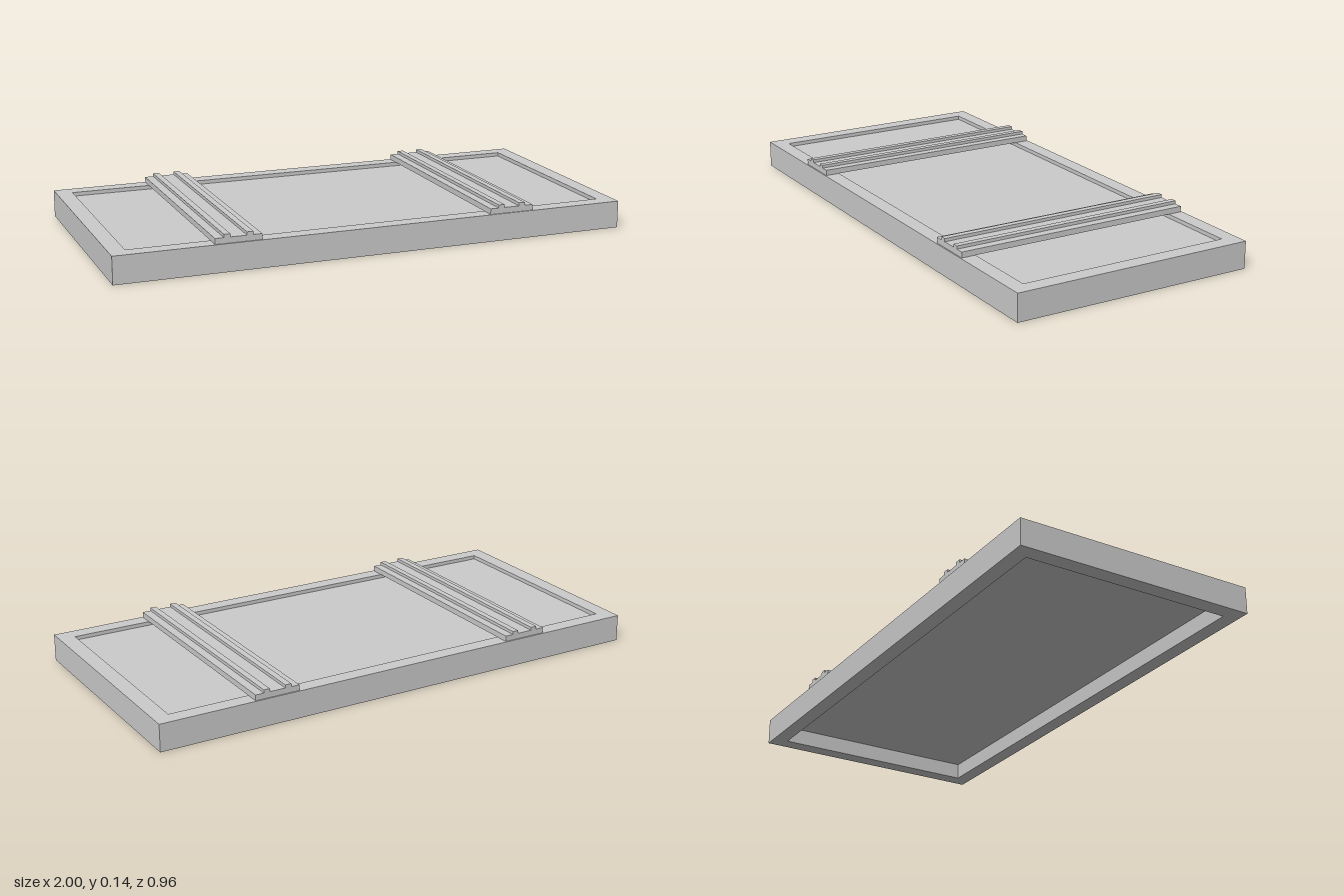
import * as THREE from 'three';

const material = new THREE.MeshStandardMaterial({ color: 0xcccccc, flatShading: true });

// Box given by its lower and upper corner
function block(name, [x0, y0, z0], [x1, y1, z1]) {
  const mesh = new THREE.Mesh(new THREE.BoxGeometry(x1 - x0, y1 - y0, z1 - z0), material);
  mesh.name = name;
  mesh.position.set((x0 + x1) / 2, (y0 + y1) / 2, (z0 + z1) / 2);
  return mesh;
}

// Corner points of a centred rectangle
function rectangle(hx, hz) {
  return [[-hx, -hz], [hx, -hz], [hx, hz], [-hx, hz]].map(([x, z]) => new THREE.Vector2(x, z));
}

export function createModel() {
  const model = new THREE.Group();
  model.name = 'battenedPanel';
  const frameTop = 0.105;

  // Rectangular rim with an open middle
  const outline = new THREE.Shape(rectangle(1, 0.478));
  outline.holes.push(new THREE.Path(rectangle(0.938, 0.418).reverse()));
  const frameGeometry = new THREE.ExtrudeGeometry(outline, { depth: frameTop, bevelEnabled: false });
  frameGeometry.rotateX(-Math.PI / 2);
  const frame = new THREE.Mesh(frameGeometry, material);
  frame.name = 'frame';
  model.add(frame);

  // Thin panel set below the rim, hollow underneath
  model.add(block('panel', [-0.938, 0.064, -0.418], [0.938, 0.09, 0.418]));

  // Two cross battens, each with a pair of raised ribs
  for (const [side, x] of [['left', 0.54], ['right', -0.54]]) {
    const batten = new THREE.Group();
    batten.name = side + 'Batten';
    batten.position.x = x;
    batten.add(block('battenBase', [-0.088, frameTop, -0.473], [0.088, 0.127, 0.473]));
    for (const ribX of [-0.043, 0.043]) {
      batten.add(block('rib', [ribX - 0.012, 0.127, -0.473], [ribX + 0.012, 0.139, 0.473]));
    }
    model.add(batten);
  }
  return model;
}
